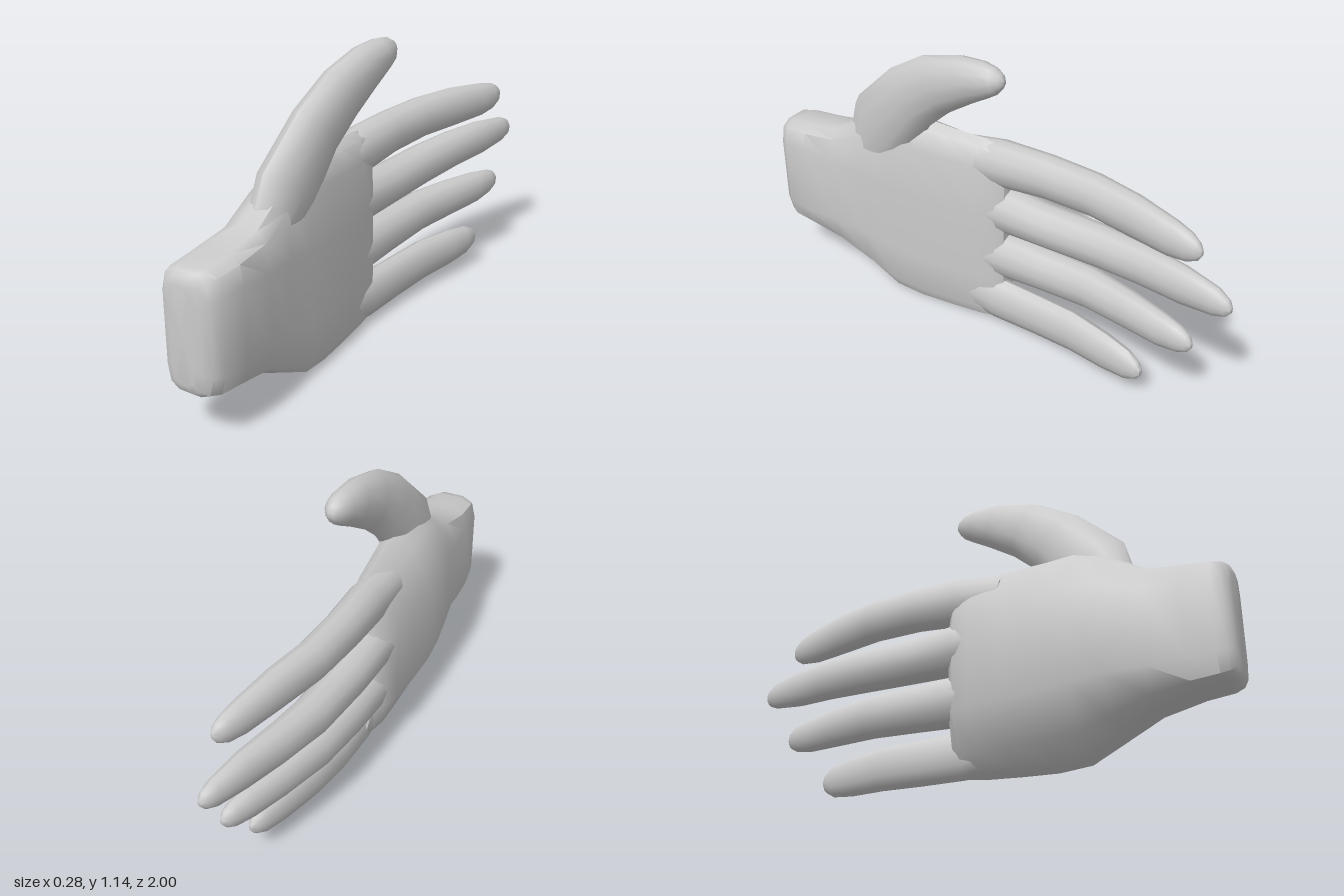
import * as THREE from 'three';
import { toCreasedNormals } from 'three/addons/utils/BufferGeometryUtils.js';

const material = new THREE.MeshStandardMaterial({ color: 0xcccccc });

// Skins a list of rings (each counterclockwise about the travel direction) and closes both ends.
function skin(name, rings) {
  const n = rings[0].length, last = rings.length - 1;
  const middle = (ring) => ring.reduce((s, p) => s.add(p), new THREE.Vector3()).divideScalar(n);
  const points = [...rings.flat(), middle(rings[0]), middle(rings[last])];
  const index = [];
  for (let j = 0; j < n; j++) {
    const k = (j + 1) % n;
    for (let i = 0; i < last; i++) {
      const a = i * n + j, b = i * n + k;
      index.push(a, b, b + n, a, b + n, a + n);
    }
    index.push(points.length - 2, k, j, points.length - 1, last * n + j, last * n + k);
  }
  const geometry = new THREE.BufferGeometry().setFromPoints(points);
  geometry.setIndex(index);
  const mesh = new THREE.Mesh(toCreasedNormals(geometry, 0.85), material);
  mesh.name = name;
  return mesh;
}

// Digit along a path; stations are [x, y, z, half thickness, half width].
function digit(name, stations, sides = 12) {
  const centres = stations.map(([x, y, z]) => new THREE.Vector3(x, y, z));
  const rings = stations.map(([, , , rx, ry], i) => {
    const t = centres[Math.min(i + 1, centres.length - 1)].clone()
      .sub(centres[Math.max(i - 1, 0)]).normalize();
    const v = t.clone().cross(new THREE.Vector3(1, 0, 0)).normalize();
    const u = v.clone().cross(t);
    return Array.from({ length: sides }, (_, j) => {
      const a = (j / sides) * Math.PI * 2;
      return centres[i].clone().addScaledVector(u, Math.cos(a) * rx).addScaledVector(v, Math.sin(a) * ry);
    });
  });
  return skin(name, rings);
}

// Unit cross-sections: arched palm and rounded-box wrist, [back to front, bottom to top]
const PALM = [[0.86, 0], [0.97, 0.06], [1, 0.25], [1, 0.6], [0.97, 0.87], [0.87, 0.97],
  [0.66, 1], [0.33, 0.94], [0, 0.73], [0, 0.29], [0.33, 0.1], [0.64, 0.02]];
const WRIST = [[0.7, 0], [0.9, 0.04], [1, 0.2], [1, 0.8], [0.93, 0.95], [0.75, 1],
  [0.3, 1], [0.08, 0.95], [0, 0.8], [0, 0.2], [0.08, 0.05], [0.3, 0]];

// Stations: z, back x, front x, bottom y, top y, blend from palm to wrist
const HAND = [
  [-0.05, -0.07, 0.02, 0.05, 0.75, 0],
  [-0.02, -0.1, 0.045, 0.02, 0.78, 0],
  [0.05, -0.122, 0.056, 0.01, 0.79, 0],
  [0.18, -0.132, 0.073, 0.004, 0.793, 0],
  [0.32, -0.14, 0.088, 0, 0.8, 0],
  [0.44, -0.136, 0.098, 0.012, 0.81, 0],
  [0.56, -0.122, 0.105, 0.07, 0.765, 0.2],
  [0.7, -0.1, 0.123, 0.14, 0.67, 0.6],
  [0.84, -0.092, 0.135, 0.17, 0.636, 1],
  [0.94, -0.09, 0.13, 0.178, 0.626, 1],
  [0.975, -0.083, 0.11, 0.185, 0.618, 1],
  [0.994, -0.065, 0.08, 0.2, 0.6, 1],
  [1.0, -0.04, 0.05, 0.225, 0.575, 1],
];

export function createModel() {
  const hand = new THREE.Group();
  hand.name = 'hand';

  // Palm running into the wrist
  hand.add(skin('palmAndWrist', HAND.map(([z, x0, x1, y0, y1, w]) => PALM.map(([a, b], i) =>
    new THREE.Vector3(
      THREE.MathUtils.lerp(x0, x1, THREE.MathUtils.lerp(a, WRIST[i][0], w)),
      THREE.MathUtils.lerp(y0, y1, THREE.MathUtils.lerp(b, WRIST[i][1], w)), z)))));

  // Four fingers bending towards the palm side
  hand.add(digit('indexFinger', [
    [-0.02, 0.68, 0.16, 0.07, 0.08], [-0.02, 0.7, -0.02, 0.073, 0.093],
    [-0.018, 0.712, -0.22, 0.068, 0.085], [0, 0.718, -0.42, 0.063, 0.082],
    [0.042, 0.72, -0.6, 0.055, 0.081], [0.08, 0.714, -0.76, 0.044, 0.07],
    [0.097, 0.715, -0.83, 0.034, 0.056], [0.106, 0.718, -0.863, 0.022, 0.037],
    [0.11, 0.72, -0.88, 0.008, 0.014],
  ]));
  hand.add(digit('middleFinger', [
    [-0.032, 0.5, 0.16, 0.085, 0.08], [-0.033, 0.5, -0.02, 0.083, 0.096],
    [-0.028, 0.495, -0.2, 0.077, 0.085], [-0.012, 0.506, -0.46, 0.068, 0.083],
    [0.02, 0.52, -0.64, 0.059, 0.079], [0.06, 0.53, -0.81, 0.047, 0.074],
    [0.088, 0.535, -0.94, 0.034, 0.055], [0.099, 0.535, -0.983, 0.022, 0.035],
    [0.103, 0.535, -1.0, 0.008, 0.013],
  ]));
  hand.add(digit('ringFinger', [
    [-0.026, 0.3, 0.16, 0.08, 0.08], [-0.026, 0.3, -0.02, 0.079, 0.098],
    [-0.02, 0.303, -0.2, 0.072, 0.088], [-0.003, 0.315, -0.42, 0.064, 0.083],
    [0.038, 0.322, -0.6, 0.055, 0.077], [0.078, 0.327, -0.75, 0.045, 0.068],
    [0.097, 0.332, -0.83, 0.033, 0.053], [0.106, 0.334, -0.863, 0.022, 0.036],
    [0.11, 0.335, -0.88, 0.008, 0.013],
  ]));
  hand.add(digit('littleFinger', [
    [0.01, 0.12, 0.16, 0.045, 0.075], [0.01, 0.105, -0.02, 0.052, 0.092],
    [0.018, 0.108, -0.2, 0.05, 0.088], [0.04, 0.12, -0.38, 0.048, 0.085],
    [0.075, 0.124, -0.54, 0.042, 0.077], [0.098, 0.127, -0.64, 0.033, 0.063],
    [0.11, 0.13, -0.685, 0.022, 0.039], [0.114, 0.13, -0.703, 0.008, 0.015],
  ]));

  // Thumb rising from the upper edge of the palm
  hand.add(digit('thumb', [
    [0.015, 0.55, 0.6, 0.07, 0.09], [0.035, 0.73, 0.49, 0.078, 0.15],
    [0.05, 0.895, 0.345, 0.07, 0.128], [0.064, 0.99, 0.215, 0.066, 0.113],
    [0.072, 1.05, 0.08, 0.06, 0.09], [0.077, 1.076, -0.01, 0.053, 0.067],
    [0.08, 1.085, -0.055, 0.041, 0.05], [0.08, 1.088, -0.08, 0.025, 0.03],
    [0.08, 1.088, -0.092, 0.009, 0.011],
  ]));

  return hand;
}
